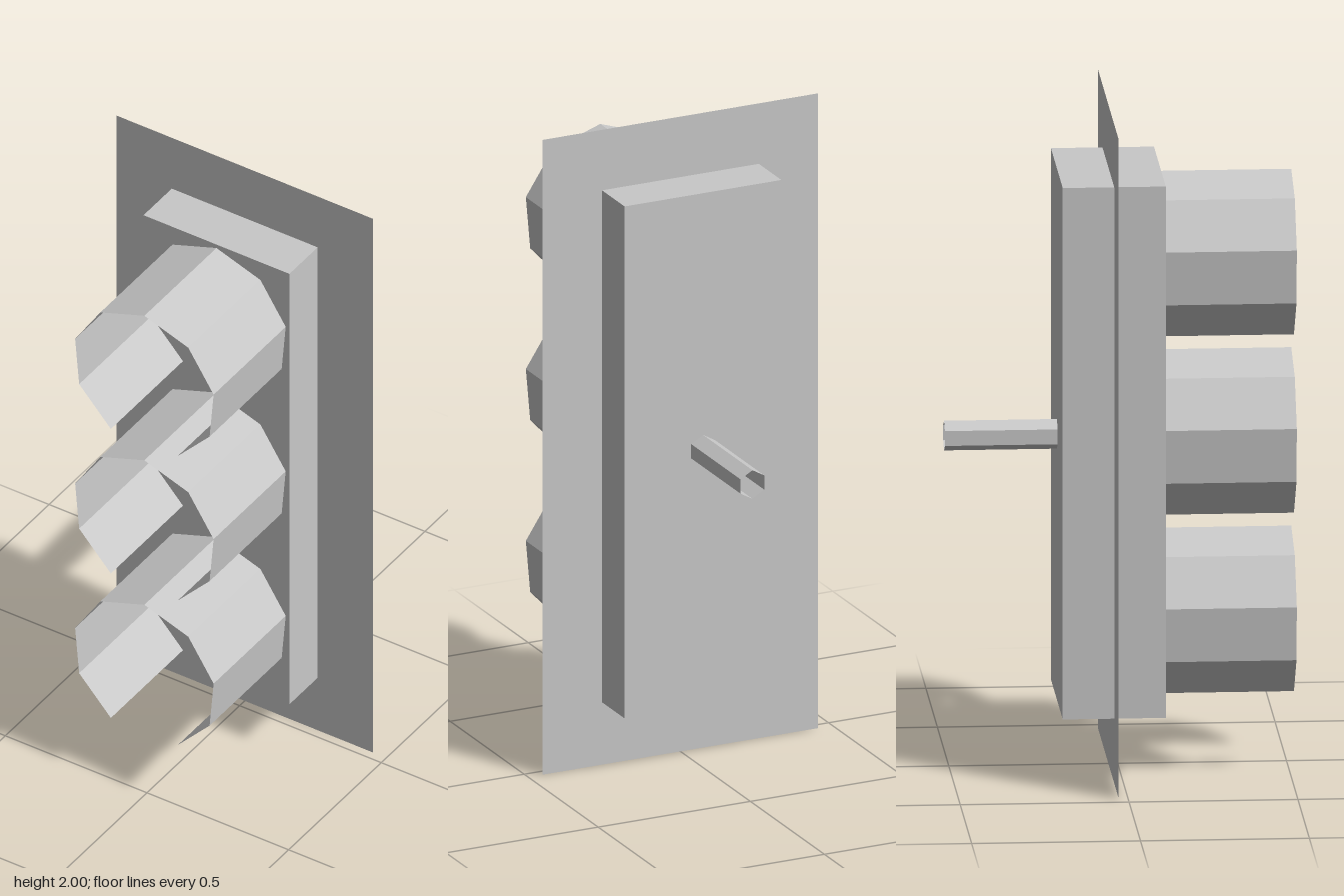
import * as THREE from 'three';

const grey = new THREE.MeshStandardMaterial({ color: 0xc8c8c8 });
grey.name = 'grey';
grey.flatShading = true;
grey.side = THREE.DoubleSide;

const MID_Y = 1.003;
const BODY_FRONT = 0.125, BODY_BACK = -0.18, END = 0.514;

function addPart(group, name, geometry, y, z) {
  const mesh = new THREE.Mesh(geometry, grey);
  mesh.name = name;
  mesh.position.set(0, y, z);
  group.add(mesh);
}

// open faceted tube along z, its arc centred on the top
function openTube(radius, length, sides, arc) {
  return new THREE.CylinderGeometry(radius, radius, length, sides, 1, true, -arc / 2, arc)
    .rotateX(-Math.PI / 2);
}

export function createModel() {
  const group = new THREE.Group();
  group.name = 'trafficSignal';

  // signal housing with a flat sheet around its middle
  const bodyZ = (BODY_FRONT + BODY_BACK) / 2;
  addPart(group, 'housing', new THREE.BoxGeometry(0.515, 1.613, BODY_FRONT - BODY_BACK), MID_Y, bodyZ);
  addPart(group, 'backPlate', new THREE.PlaneGeometry(0.905, 2), 1, bodyZ);

  // three visors, open at the bottom
  const arc = THREE.MathUtils.degToRad(304);
  ['lower', 'middle', 'upper'].forEach((name, i) => {
    addPart(group, name + 'Visor', openTube(0.252, END - BODY_FRONT, 8, arc),
      MID_Y + (i - 1) * 0.5415, (END + BODY_FRONT) / 2);
  });

  // hexagonal mounting tube at the back
  addPart(group, 'mountingTube', openTube(0.045, END + BODY_BACK, 6, Math.PI * 2),
    MID_Y, (BODY_BACK - END) / 2);

  return group;
}
